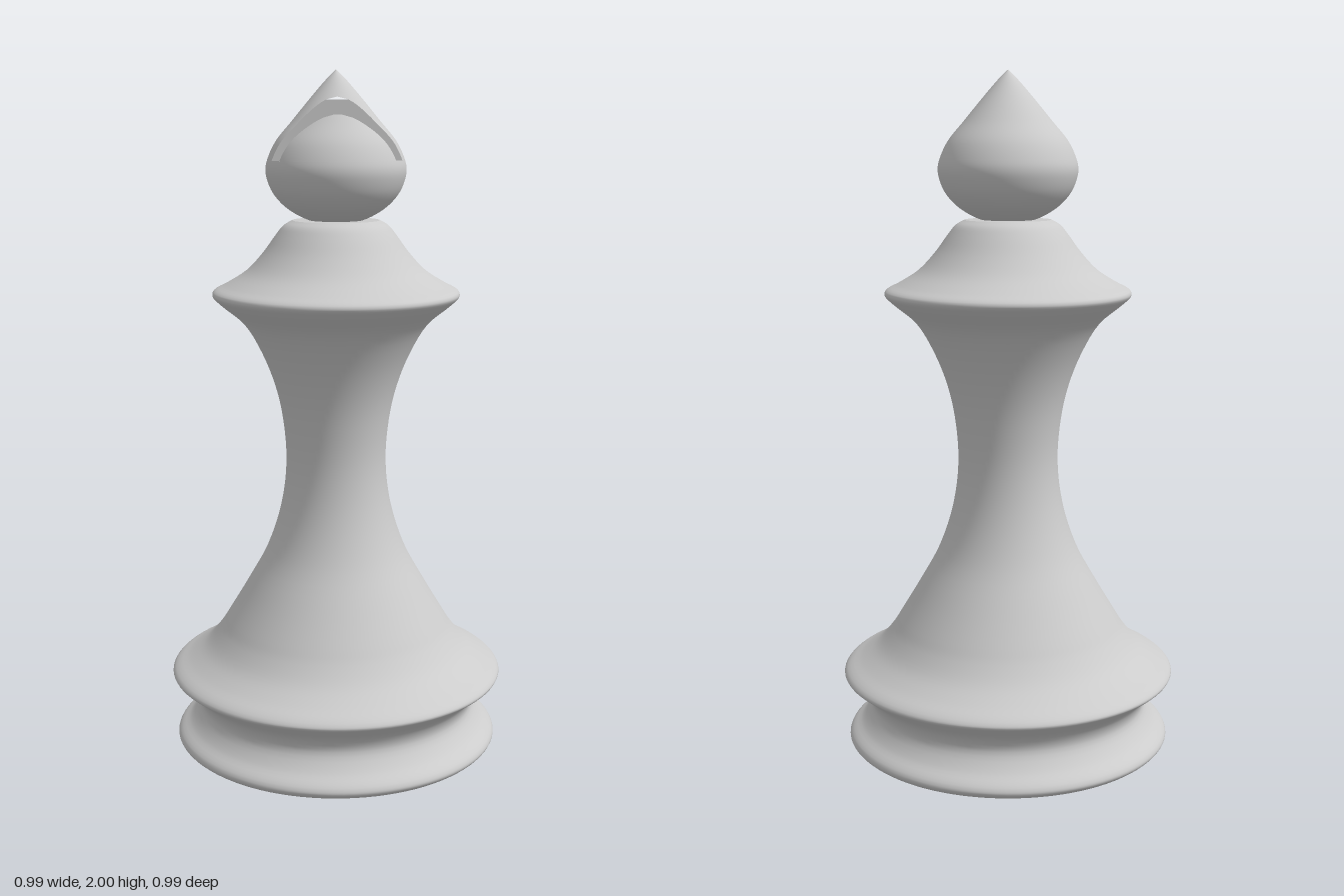
import * as THREE from 'three';

const SEGMENTS = 96;
const SLOT_BACK = 0.07, SLOT_FRONT = 0.11; // z limits of the slot in the head

// Smooth profile through [radius, height] points, with sub steps per span
function smoothProfile(points, sub) {
  const curve = new THREE.CatmullRomCurve3(points.map(([r, y]) => new THREE.Vector3(r, y, 0)));
  return curve.getPoints((points.length - 1) * sub).map((p) => new THREE.Vector2(Math.max(p.x, 0), p.y));
}

// Half angle of the part of a circle of radius r lying beyond distance d
const halfAngle = (r, d) => Math.acos(THREE.MathUtils.clamp(d / Math.max(r, 1e-5), -1, 1));

// Turned surface limited to side * z > d
function cutTurning(profile, side, d) {
  const pos = [], nor = [], idx = [], cols = SEGMENTS;
  profile.forEach(({ x: r, y }, i) => {
    const a = profile[Math.max(i - 1, 0)], b = profile[Math.min(i + 1, profile.length - 1)];
    const n = new THREE.Vector2(b.y - a.y, a.x - b.x).normalize();
    const half = halfAngle(r, d);
    for (let j = 0; j <= cols; j++) {
      const t = half * (2 * j / cols - 1);
      const sx = side * Math.sin(t), cz = side * Math.cos(t);
      pos.push(r * sx, y, r * cz);
      nor.push(n.x * sx, n.y, n.x * cz);
      if (i < profile.length - 1 && j < cols) {
        const k = i * (cols + 1) + j, up = k + cols + 1;
        idx.push(k, k + 1, up + 1, k, up + 1, up);
      }
    }
  });
  const geo = new THREE.BufferGeometry();
  geo.setAttribute('position', new THREE.Float32BufferAttribute(pos, 3));
  geo.setAttribute('normal', new THREE.Float32BufferAttribute(nor, 3));
  geo.setIndex(idx);
  return geo;
}

// Flat wall where the plane at z = c meets the turned profile
function slotWall(profile, c) {
  const edge = profile.filter((p) => p.x > c)
    .map((p) => new THREE.Vector2(Math.sqrt(p.x * p.x - c * c), p.y));
  const mirrored = edge.map((p) => new THREE.Vector2(-p.x, p.y)).reverse();
  return new THREE.ShapeGeometry(new THREE.Shape([...edge, ...mirrored])).translate(0, 0, c);
}

export function createModel() {
  const group = new THREE.Group();
  const solid = new THREE.MeshStandardMaterial({ color: 0xcccccc });
  const sheet = new THREE.MeshStandardMaterial({ color: 0xcccccc, side: THREE.DoubleSide });
  const add = (name, geometry, material = solid) => {
    const mesh = new THREE.Mesh(geometry, material);
    mesh.name = name;
    group.add(mesh);
  };

  // Turned body: foot, waist, flared skirt, stem and collar
  const body = smoothProfile([
    [0.42, 0.003], [0.465, 0.018], [0.481, 0.035], [0.475, 0.052], [0.44, 0.082], [0.412, 0.13],
    [0.425, 0.172], [0.475, 0.215], [0.494, 0.233], [0.485, 0.248], [0.44, 0.275], [0.39, 0.312],
    [0.35, 0.36], [0.325, 0.4], [0.265, 0.5], [0.205, 0.61], [0.163, 0.74], [0.147, 0.87],
    [0.156, 1.0], [0.178, 1.1], [0.217, 1.2], [0.268, 1.285], [0.335, 1.342], [0.357, 1.365],
    [0.354, 1.378], [0.32, 1.397], [0.26, 1.435], [0.21, 1.488], [0.172, 1.54], [0.15, 1.566],
    [0.125, 1.58],
  ], 4);
  add('body', new THREE.LatheGeometry(body, SEGMENTS));
  add('footBottom', new THREE.CircleGeometry(0.42, SEGMENTS).rotateX(Math.PI / 2).translate(0, 0.003, 0));
  add('collarTop', new THREE.CircleGeometry(0.125, SEGMENTS).rotateX(-Math.PI / 2).translate(0, 1.58, 0));

  // Drop-shaped head, split at the floor of the slot
  const sub = 8, floorKnot = 6;
  const head = smoothProfile([
    [0.05, 1.57], [0.105, 1.592], [0.15, 1.622], [0.182, 1.66], [0.198, 1.7], [0.201, 1.725],
    [0.196, 1.75], [0.173, 1.8], [0.124, 1.86], [0.07, 1.925], [0.026, 1.975], [0, 2],
  ], sub);
  const lower = head.slice(0, floorKnot * sub + 1);
  const upper = head.slice(floorKnot * sub);
  add('headLower', new THREE.LatheGeometry(lower, SEGMENTS));
  add('headBack', cutTurning(upper, -1, -SLOT_BACK));
  add('headFront', cutTurning(upper.filter((p) => p.x > SLOT_FRONT), 1, SLOT_FRONT));

  // Inside faces of the slot
  add('slotBackWall', slotWall(upper, SLOT_BACK), sheet);
  add('slotFrontWall', slotWall(upper, SLOT_FRONT), sheet);
  const r = upper[0].x;
  const floor = [SLOT_BACK, 0.08, 0.09, 0.1, SLOT_FRONT].map((z) => new THREE.Vector2(Math.sqrt(r * r - z * z), z));
  const floorShape = new THREE.Shape([...floor, ...floor.map((p) => new THREE.Vector2(-p.x, p.y)).reverse()]);
  add('slotFloor', new THREE.ShapeGeometry(floorShape).rotateX(Math.PI / 2).translate(0, 1.75, 0), sheet);

  return group;
}
